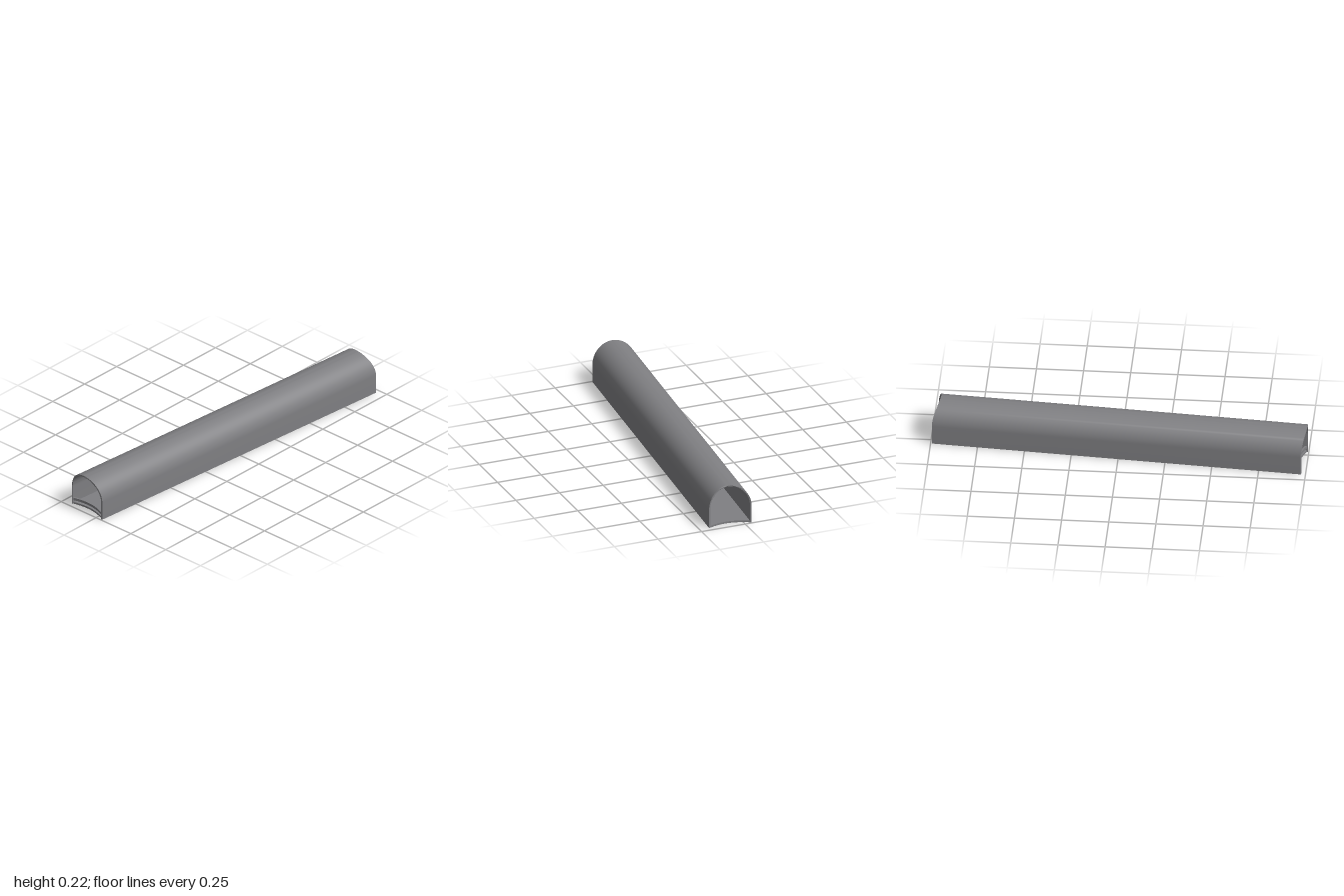
import * as THREE from 'three';
import { toCreasedNormals } from 'three/addons/utils/BufferGeometryUtils.js';

const L = 0.987;       // half length
const W = 0.118;       // half width
const SPRING = 0.105;  // height where the vault begins
const TOP = 0.22;
const WALL = 0.008;
const FLOOR = 0.01;

const bow = (w) => 1 - (w / W) ** 2;

// Outline of a curved plate seen from above, between two end curves
function plate(startU, endU, halfWidth, thickness, bottom) {
  const pts = [];
  const n = 16;
  for (let i = 0; i <= n; i++) {
    const w = -halfWidth + (2 * halfWidth * i) / n;
    pts.push(new THREE.Vector2(endU(w), w));
  }
  for (let i = n; i >= 0; i--) {
    const w = -halfWidth + (2 * halfWidth * i) / n;
    pts.push(new THREE.Vector2(startU(w), w));
  }
  const geo = new THREE.ExtrudeGeometry(new THREE.Shape(pts), { depth: thickness, bevelEnabled: false });
  geo.rotateX(Math.PI / 2);
  geo.translate(0, bottom + thickness, 0);
  return toCreasedNormals(geo, 0.6);
}

// Vaulted shell whose ends follow curves across the width
function vault() {
  const pts = [];
  const n = 40;
  const arch = (rx, top, i) => {
    const a = (Math.PI * i) / n;
    return new THREE.Vector2(rx * Math.cos(a), SPRING + (top - SPRING) * Math.sin(a));
  };
  pts.push(new THREE.Vector2(W, 0));
  for (let i = 0; i <= n; i++) pts.push(arch(W, TOP, i));
  pts.push(new THREE.Vector2(-W, 0), new THREE.Vector2(-W + WALL, 0));
  for (let i = n; i >= 0; i--) pts.push(arch(W - WALL, TOP - WALL, i));
  pts.push(new THREE.Vector2(W - WALL, 0));

  const geo = new THREE.ExtrudeGeometry(new THREE.Shape(pts), { depth: 1, bevelEnabled: false });
  const p = geo.attributes.position;
  for (let i = 0; i < p.count; i++) {
    const b = bow(p.getX(i));
    p.setZ(i, p.getZ(i) > 0.5 ? L - 0.03 * b : -L - 0.016 * b);
  }
  geo.rotateY(Math.PI / 2);
  return toCreasedNormals(geo, 0.6);
}

export function createModel() {
  const gray = new THREE.MeshStandardMaterial({ color: 0x7f7f82 });
  gray.name = 'gray';
  const model = new THREE.Group();
  model.name = 'tunnel';
  const add = (name, geo) => {
    const mesh = new THREE.Mesh(geo, gray);
    mesh.name = name;
    model.add(mesh);
  };

  const inner = W - WALL;
  const nearEnd = (w) => L - 0.03 * bow(w);
  const farEnd = (w) => -L + 0.025 * bow(w);

  add('vaultedShell', vault());
  add('floor', plate(farEnd, nearEnd, inner, FLOOR, 0));
  // Low sill across the far opening
  add('sill', plate(farEnd, (w) => farEnd(w) + 0.01, inner, 0.014, 0.022));

  // The passage runs slightly askew
  model.rotation.y = -0.08;
  const root = new THREE.Group();
  root.name = 'model';
  root.add(model);
  return root;
}
